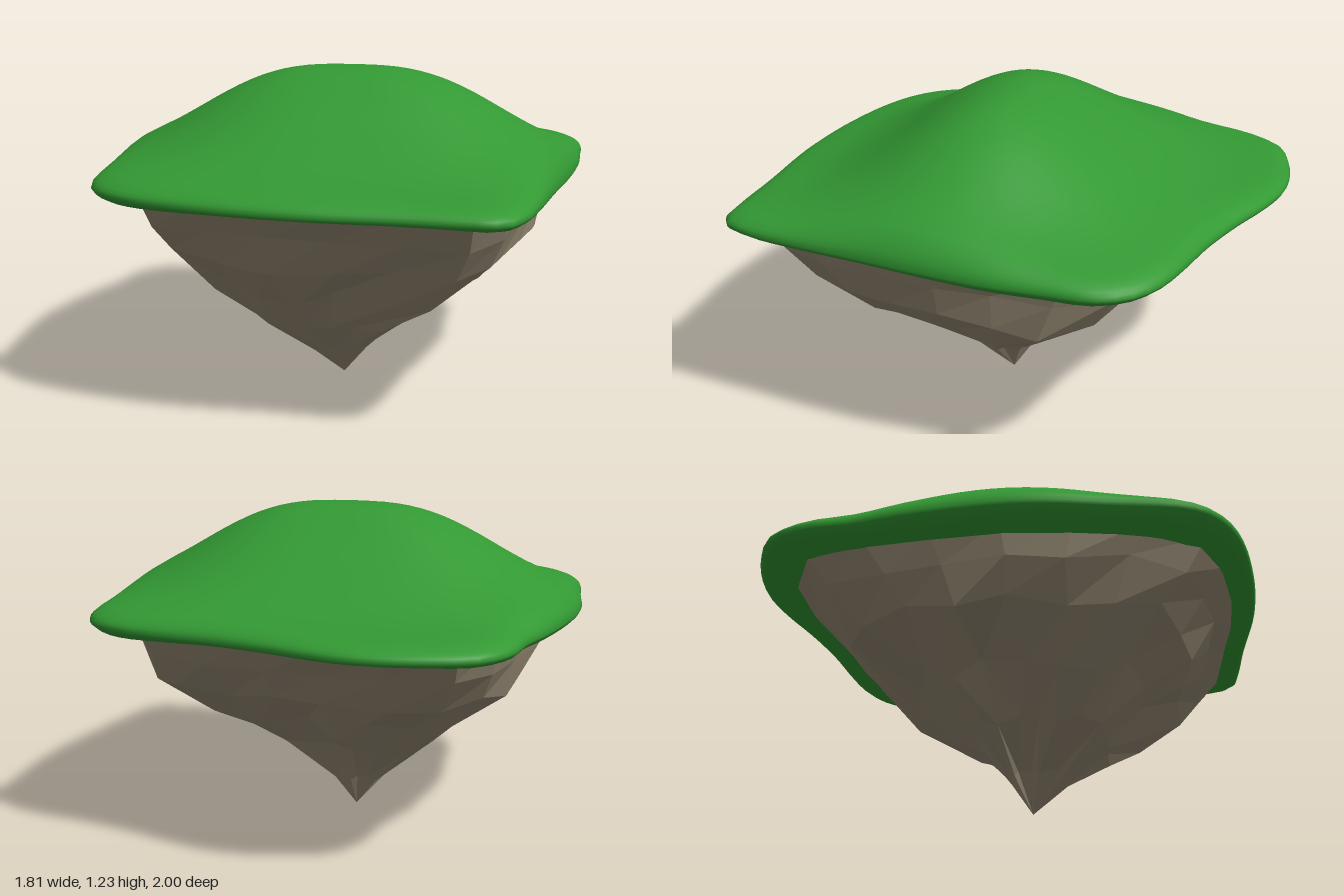
import * as THREE from 'three';

// Plan outline of the island as [x, z], running from the back towards +x
const OUTLINE = [
  [-0.56, -0.95], [-0.44, -0.985], [-0.29, -1], [-0.13, -0.985], [0.02, -0.93], [0.2, -0.84],
  [0.4, -0.755], [0.6, -0.69], [0.75, -0.63], [0.85, -0.55], [0.9, -0.44], [0.89, -0.25],
  [0.875, -0.06], [0.83, 0.18], [0.77, 0.43], [0.71, 0.7], [0.66, 0.88], [0.59, 0.99],
  [0.46, 0.99], [0.25, 0.965], [-0.05, 0.94], [-0.2, 0.915], [-0.4, 0.865], [-0.66, 0.77],
  [-0.79, 0.69], [-0.87, 0.6], [-0.905, 0.5], [-0.905, 0.25], [-0.905, 0.03], [-0.88, -0.15],
  [-0.78, -0.48], [-0.71, -0.65], [-0.66, -0.83],
];
const curve = new THREE.CatmullRomCurve3(OUTLINE.map(([x, z]) => new THREE.Vector3(x, 0, z)), true);

// Join closed rings of points, listed from the top centre outwards and down
function loft(rings) {
  const n = rings[0].length;
  const indices = [];
  for (let k = 0; k < rings.length - 1; k++) {
    for (let i = 0; i < n; i++) {
      const j = (i + 1) % n;
      const a = k * n + i, b = k * n + j, c = a + n, d = b + n;
      indices.push(a, b, d, a, d, c);
    }
  }
  const geometry = new THREE.BufferGeometry().setFromPoints(rings.flat());
  geometry.setIndex(indices);
  geometry.computeVertexNormals();
  return geometry;
}

// Height of the grassy mound: a broad ridge along x on a nearly flat brim
function moundHeight(x, z) {
  const dz = z - 0.05 - 0.07 * x;
  const across = Math.exp(-((dz / (dz > 0 ? 0.48 : 0.49)) ** 2));
  const along = Math.exp(-(Math.abs(x / 0.68) ** 2.9));
  return 0.88 + 0.35 * along * across;
}

function createGrass() {
  const edge = curve.getSpacedPoints(96).slice(0, 96);
  const rings = [];
  // Top surface, rolled over at the rim
  const scales = [0.001];
  for (let s = 0.05; s < 0.89; s += 0.05) scales.push(s);
  scales.push(0.92, 0.95, 0.97, 0.985, 0.995, 1);
  for (const s of scales) {
    const t = Math.max(0, (s - 0.88) / 0.12);
    const roll = Math.sqrt(Math.max(0, 1 - t * t));
    rings.push(edge.map((p) => {
      const x = p.x * s, z = p.z * s;
      return new THREE.Vector3(x, 0.84 + (moundHeight(x, z) - 0.84) * roll, z);
    }));
  }
  // Lip and underside as [scale, height, sag], hanging lower along the sides
  const lip = [
    [0.993, 0.828, 0], [0.975, 0.82, 0.01], [0.945, 0.815, 0.025],
    [0.9, 0.812, 0.035], [0.85, 0.818, 0.04], [0.78, 0.83, 0.02], [0.001, 0.83, 0],
  ];
  for (const [s, y, sag] of lip) {
    rings.push(edge.map((p) => new THREE.Vector3(p.x * s, y - sag * p.x ** 2, p.z * s)));
  }
  const mesh = new THREE.Mesh(loft(rings), new THREE.MeshStandardMaterial({ color: 0x339933 }));
  mesh.name = 'grassCap';
  return mesh;
}

function createRock() {
  const n = 22;
  const edge = curve.getSpacedPoints(n).slice(0, n);
  let seed = 11;
  const jitter = (amount) => {
    seed = (seed * 16807) % 2147483647;
    return (seed / 2147483647 - 0.5) * 2 * amount;
  };
  // [x scale, z scale, centre x, centre z, height, roughness] down to the pointed tip
  const levels = [
    [0, 0, 0, 0, 0.83, 0],
    [0.87, 0.9, 0, 0.02, 0.83, 0],
    [0.83, 0.78, 0, 0.02, 0.71, 0.01],
    [0.77, 0.665, 0, 0.03, 0.58, 0.02],
    [0.54, 0.46, 0, 0.06, 0.42, 0.025],
    [0.33, 0.27, -0.05, 0.09, 0.28, 0.02],
    [0.12, 0.12, -0.04, 0.08, 0.13, 0.012],
    [0, 0, -0.03, 0.05, 0, 0],
  ];
  const rings = levels.map(([sx, sz, cx, cz, y, rough]) => edge.map((p) => {
    const bulge = 1 + jitter(rough * 1.5);
    return new THREE.Vector3(
      p.x * sx * bulge + cx + jitter(rough),
      y + jitter(rough * 1.4),
      p.z * sz * bulge + cz + jitter(rough),
    );
  }));
  const mesh = new THREE.Mesh(
    loft(rings),
    new THREE.MeshStandardMaterial({ color: 0x968a74, flatShading: true }),
  );
  mesh.name = 'rockBase';
  return mesh;
}

export function createModel() {
  const group = new THREE.Group();
  group.name = 'floatingIsland';
  group.add(createGrass(), createRock());
  return group;
}
